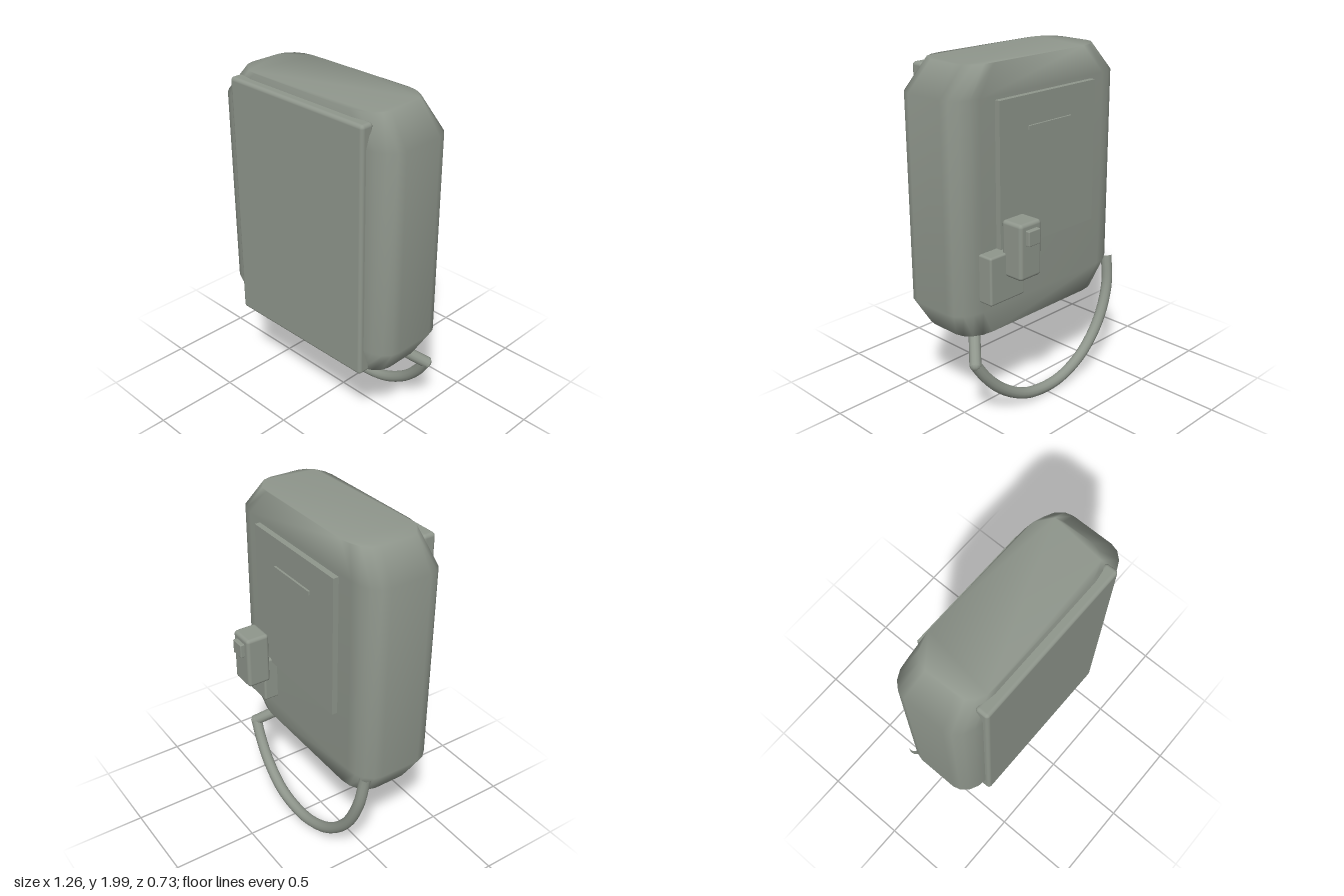
import * as THREE from 'three';
import { RoundedBoxGeometry } from 'three/addons/geometries/RoundedBoxGeometry.js';

const shell = new THREE.MeshStandardMaterial({ color: 0x8f968c });
shell.name = 'greyGreenShell';

// Rounded-rectangle outline as [x, z] points
function outline(hx, hz, rx, rz, steps = 4) {
  const pts = [];
  for (let q = 0; q < 4; q++) {
    const sx = q === 0 || q === 3 ? 1 : -1;
    const sz = q < 2 ? 1 : -1;
    for (let i = 0; i <= steps; i++) {
      const a = (q + i / steps) * Math.PI / 2;
      pts.push(new THREE.Vector2(sx * (hx - rx) + rx * Math.cos(a), sz * (hz - rz) + rz * Math.sin(a)));
    }
  }
  return pts;
}

// Loft through four outlines with softly shaded caps
function bodyGeometry() {
  const sections = [
    [0.52, 0.54, 0.21], [0.68, 0.632, 0.24], [1.84, 0.632, 0.24], [2.0, 0.5, 0.21],
  ];
  const rings = sections.map(([, hx, hz]) => outline(hx, hz, 0.16, 0.12));
  const n = rings[0].length;
  const pos = [], idx = [];
  rings.forEach((ring, k) => ring.forEach((p) => pos.push(p.x, sections[k][0], p.y + 0.095)));
  for (let k = 0; k < rings.length - 1; k++) {
    for (let i = 0; i < n; i++) {
      const a = k * n + i, b = k * n + (i + 1) % n;
      idx.push(a, a + n, b, b, a + n, b + n);
    }
  }
  const top = (rings.length - 1) * n;
  for (const [a, b, c] of THREE.ShapeUtils.triangulateShape(rings[0], [])) {
    idx.push(a, b, c);
    idx.push(top + a, top + c, top + b);
  }
  const g = new THREE.BufferGeometry();
  g.setAttribute('position', new THREE.Float32BufferAttribute(pos, 3));
  g.setIndex(idx);
  g.computeVertexNormals();
  return g;
}

export function createModel() {
  const model = new THREE.Group();
  model.name = 'wallUnit';

  const add = (name, geometry) => {
    const mesh = new THREE.Mesh(geometry, shell);
    mesh.name = name;
    model.add(mesh);
    return mesh;
  };
  // Box given by its limits; r > 0 rounds the edges
  const box = (name, [x0, x1], [y0, y1], [z0, z1], r = 0) => {
    const size = [x1 - x0, y1 - y0, z1 - z0];
    const g = r ? new RoundedBoxGeometry(...size, 3, r) : new THREE.BoxGeometry(...size);
    add(name, g).position.set((x0 + x1) / 2, (y0 + y1) / 2, (z0 + z1) / 2);
  };

  add('body', bodyGeometry());
  box('frontPanel', [-0.482, 0.482], [0.525, 1.965], [0.282, 0.362], 0.02);

  // Rear plate with its raised bar
  box('backPlate', [-0.37, 0.37], [1.0, 1.82], [-0.178, -0.13]);
  box('backPlateBar', [-0.165, 0.165], [1.635, 1.657], [-0.19, -0.17]);

  // Connector and its holder
  box('holder', [0.24, 0.495], [0.745, 1.02], [-0.23, -0.12], 0.012);
  box('plug', [0.227, 0.385], [0.885, 1.2], [-0.34, -0.197], 0.02);
  box('plugTab', [0.263, 0.349], [1.08, 1.165], [-0.365, -0.33], 0.006);

  // Hanging cable with a sharp bend into the underside
  const loop = new THREE.CatmullRomCurve3([
    [-0.598, 0.69, -0.115], [-0.578, 0.5, -0.14], [-0.49, 0.3, -0.155], [-0.33, 0.14, -0.167],
    [-0.15, 0.06, -0.174], [0, 0.042, -0.175], [0.18, 0.07, -0.172], [0.35, 0.165, -0.16],
    [0.46, 0.275, -0.147], [0.535, 0.385, -0.135],
  ].map((p) => new THREE.Vector3(...p)));
  add('cableLoop', new THREE.TubeGeometry(loop, 48, 0.033, 12));
  const tail = new THREE.LineCurve3(new THREE.Vector3(0.54, 0.372, -0.145), new THREE.Vector3(0.31, 0.595, 0.11));
  add('cableTail', new THREE.TubeGeometry(tail, 1, 0.033, 12));
  // Closing joint at the bend
  add('cableBend', new THREE.SphereGeometry(0.033, 12, 8)).position.set(0.532, 0.38, -0.137);

  return model;
}
